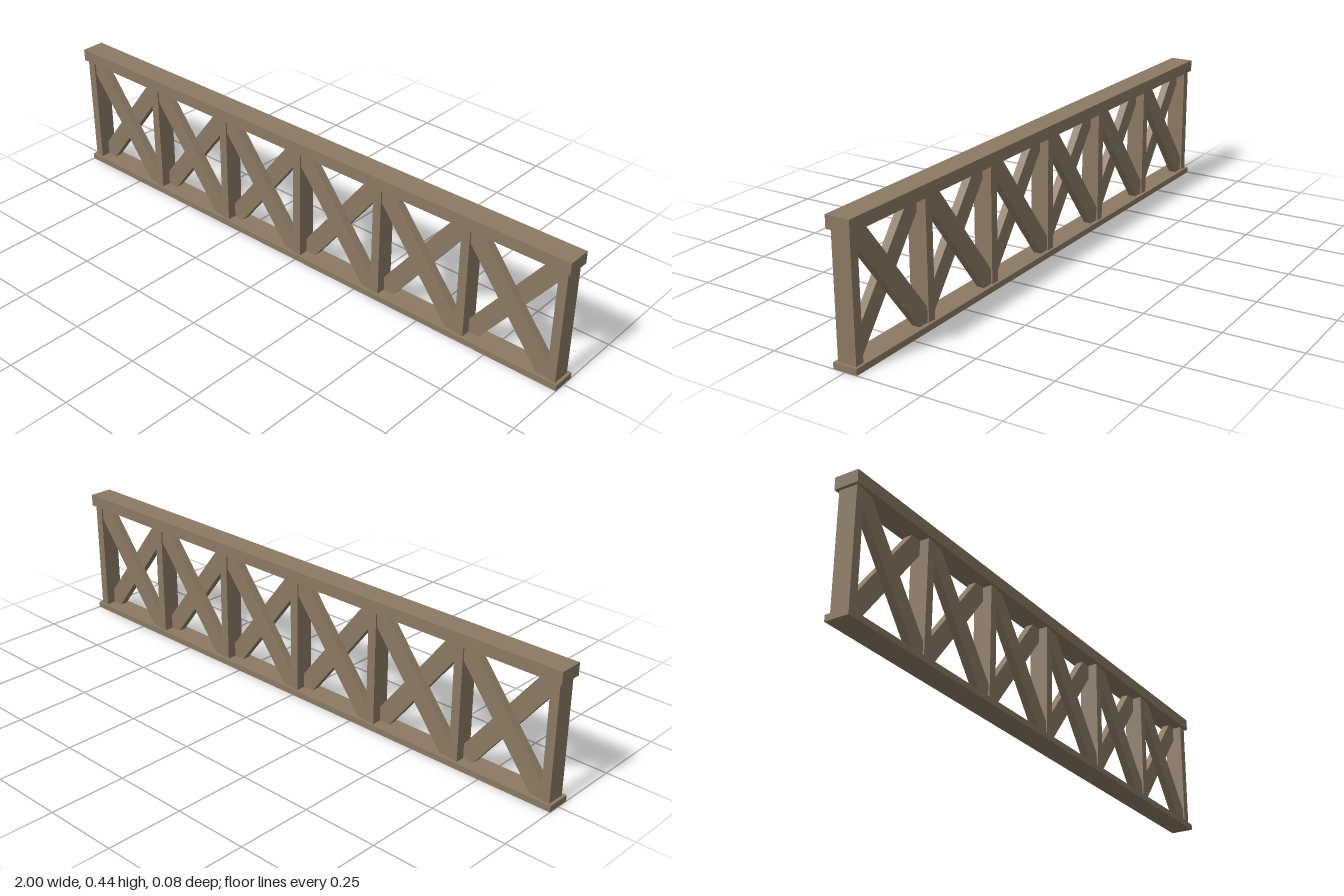
import * as THREE from 'three';

export function createModel() {
  const root = new THREE.Group();
  root.name = 'trussRailing';
  const wood = new THREE.MeshStandardMaterial({ color: 0x8b7963 });
  wood.name = 'weathered wood';

  const panels = 6, spacing = 0.325;
  const postWidth = 0.03, postDepth = 0.062;
  const bottom = 0.02, top = 0.4;

  function add(name, geometry, x, y, z) {
    const mesh = new THREE.Mesh(geometry, wood);
    mesh.name = name;
    mesh.position.set(x, y, z);
    root.add(mesh);
    return mesh;
  }

  // Long rails
  add('topRail', new THREE.BoxGeometry(2, 0.04, 0.08), 0, 0.42, 0);
  add('bottomRail', new THREE.BoxGeometry(2, 0.02, 0.08), 0, 0.01, 0);

  // Upright posts
  const post = new THREE.BoxGeometry(postWidth, top - bottom, postDepth);
  for (let i = 0; i <= panels; i++) {
    add('post', post, (i - panels / 2) * spacing, (top + bottom) / 2, 0);
  }

  // Diagonal brace, its ends cut flush with the posts and rails
  const w = (spacing - postWidth) / 2, h = (top - bottom) / 2;
  const halfWidth = 0.03, thickness = 0.026;
  const length = Math.hypot(w, h);
  const cutX = halfWidth * length / h, cutY = halfWidth * length / w;
  const shape = new THREE.Shape([
    [-w, h], [-w, h - cutY], [w - cutX, -h],
    [w, -h], [w, -h + cutY], [-w + cutX, h],
  ].map(([x, y]) => new THREE.Vector2(x, y)));
  const brace = new THREE.ExtrudeGeometry(shape, { depth: thickness, bevelEnabled: false });

  // Crossed pair in every panel: one at the front, one turned round at the back
  for (let i = 0; i < panels; i++) {
    const x = (i - (panels - 1) / 2) * spacing;
    const y = (top + bottom) / 2;
    add('frontBrace', brace, x, y, 0);
    add('backBrace', brace, x, y, 0).rotation.y = Math.PI;
  }

  return root;
}
